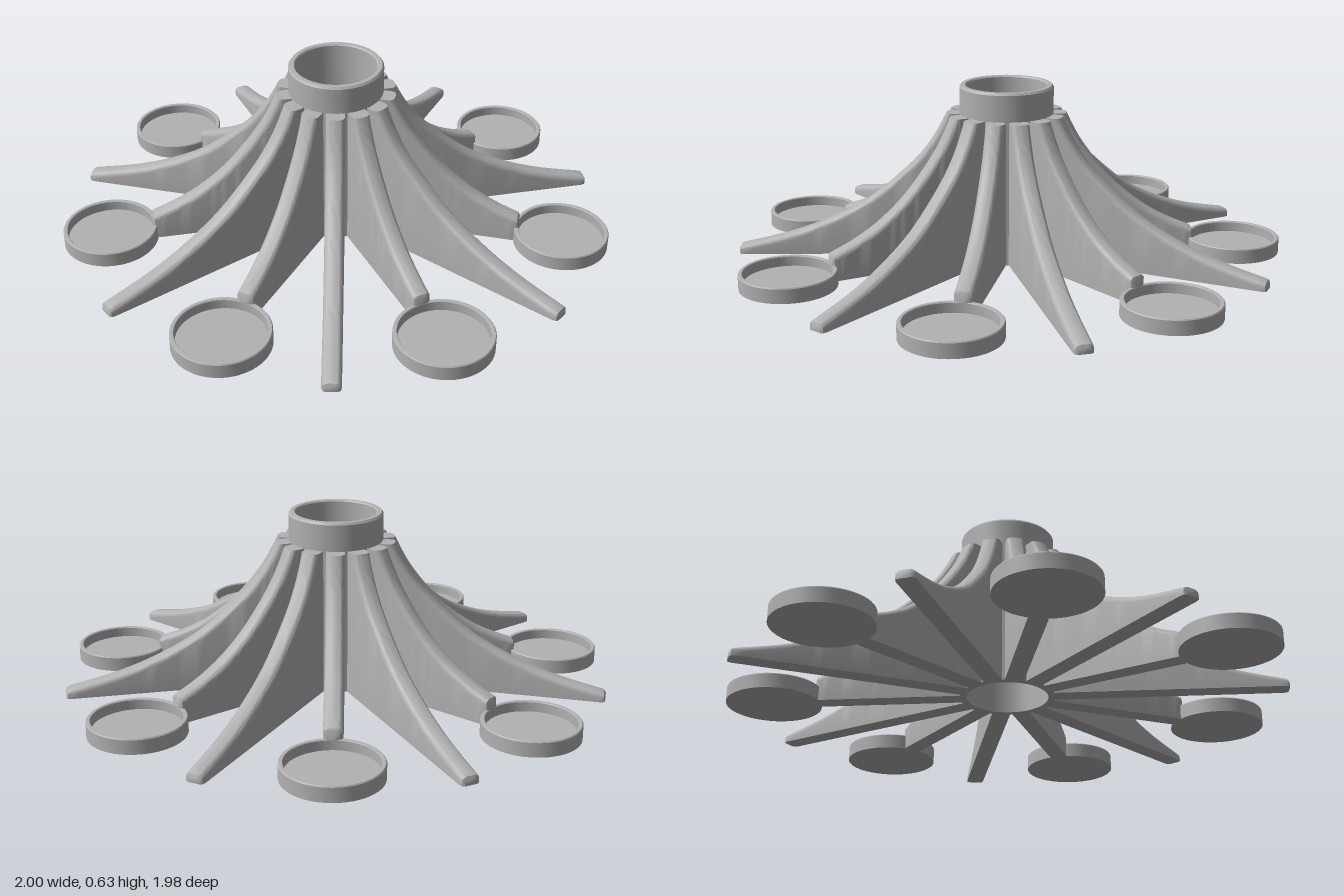
import * as THREE from 'three';
import { toCreasedNormals } from 'three/addons/utils/BufferGeometryUtils.js';

const COUNT = 7;
const TOP = 0.527;

// Fin along +x: a rounded top edge swept down the profile, with flat walls to the ground
function finGeometry(profile) {
  const curve = new THREE.SplineCurve(profile.map(p => new THREE.Vector2(...p)));
  const half = 0.033, fillet = 0.022, steps = 28, arc = 5;
  const section = [];                          // [lateral, depth below the edge]
  for (let k = 0; k <= arc; k++) {
    const a = (k / arc) * Math.PI / 2;
    section.push([half - fillet + fillet * Math.cos(a), fillet * (1 - Math.sin(a))]);
  }
  for (let k = arc; k >= 0; k--) section.push([-section[k][0], section[k][1]]);
  const n = section.length + 2;
  const pos = [], index = [];

  const addRing = (place, squeeze) => {
    const pts = section.map(([z, d]) => [...place(d), z * squeeze]);
    const first = pts[0], last = pts[pts.length - 1];
    pos.push(first[0], 0, first[2]);
    pts.forEach(p => pos.push(...p));
    pos.push(last[0], 0, last[2]);
  };

  addRing(() => [0.155, TOP], 1);              // flat top, buried in the hub wall
  for (let i = 0; i <= steps; i++) {
    const p = curve.getPoint(i / steps), t = curve.getTangent(i / steps);
    addRing(d => [p.x + t.y * d, i === 0 ? TOP : Math.max(0.003, p.y - t.x * d)], 1);
  }
  // Rounded outer end
  const end = curve.getPoint(1);
  for (const [out, drop, squeeze] of [[0.009, 0.004, 0.9], [0.014, 0.013, 0.68]])
    addRing(d => [end.x + out, Math.max(0.002, end.y - drop - d * 0.6)], squeeze);

  const rings = pos.length / 3 / n;
  for (let i = 0; i < rings - 1; i++) {
    for (let j = 0; j < n; j++) {
      const a = i * n + j, b = i * n + (j + 1) % n;
      index.push(a, a + n, b + n, a, b + n, b);
    }
  }
  const e = (rings - 1) * n;
  for (let j = 1; j < n - 1; j++) index.push(e, e + j + 1, e + j);

  const g = new THREE.BufferGeometry();
  g.setAttribute('position', new THREE.Float32BufferAttribute(pos, 3));
  g.setIndex(index);
  return toCreasedNormals(g, 0.6);
}

const lathe = points => toCreasedNormals(
  new THREE.LatheGeometry(points.map(p => new THREE.Vector2(...p)), 64), 0.5);

export function createModel() {
  const model = new THREE.Group();
  model.name = 'finnedStand';
  const grey = new THREE.MeshStandardMaterial({ color: 0xb2b2b2 });
  grey.name = 'grey';

  const body = new THREE.Group();
  body.name = 'body';
  body.position.x = -0.015;
  model.add(body);

  const add = (name, geometry, angle = 0, distance = 0) => {
    const mesh = new THREE.Mesh(geometry, grey);
    mesh.name = name;
    mesh.rotation.y = angle;
    mesh.position.set(Math.cos(angle) * distance, 0, -Math.sin(angle) * distance);
    body.add(mesh);
  };

  // Hollow central tube, open at both ends
  add('hub', lathe([
    [0.145, 0], [0.17, 0], [0.17, 0.622], [0.164, 0.63], [0.149, 0.63], [0.145, 0.625], [0.145, 0],
  ]));

  // Shallow dish with a raised rim
  const cup = lathe([
    [0, 0], [0.17, 0], [0.17, 0.051], [0.167, 0.055], [0.156, 0.055], [0.154, 0.052], [0.154, 0.018], [0, 0.018],
  ]);
  const shortFin = finGeometry([[0.216, TOP], [0.27, 0.425], [0.345, 0.325], [0.42, 0.245], [0.505, 0.178], [0.59, 0.13], [0.672, 0.096]]);
  const longFin = finGeometry([[0.216, TOP], [0.27, 0.43], [0.35, 0.335], [0.5, 0.21], [0.65, 0.13], [0.8, 0.075], [0.971, 0.034]]);

  // Short fins carrying dishes alternate with long bare fins
  for (let k = 0; k < COUNT; k++) {
    const angle = (k / COUNT) * Math.PI * 2;
    add('shortFin', shortFin, angle);
    add('cup', cup, angle, 0.84);
    add('longFin', longFin, angle + Math.PI);
  }
  return model;
}
